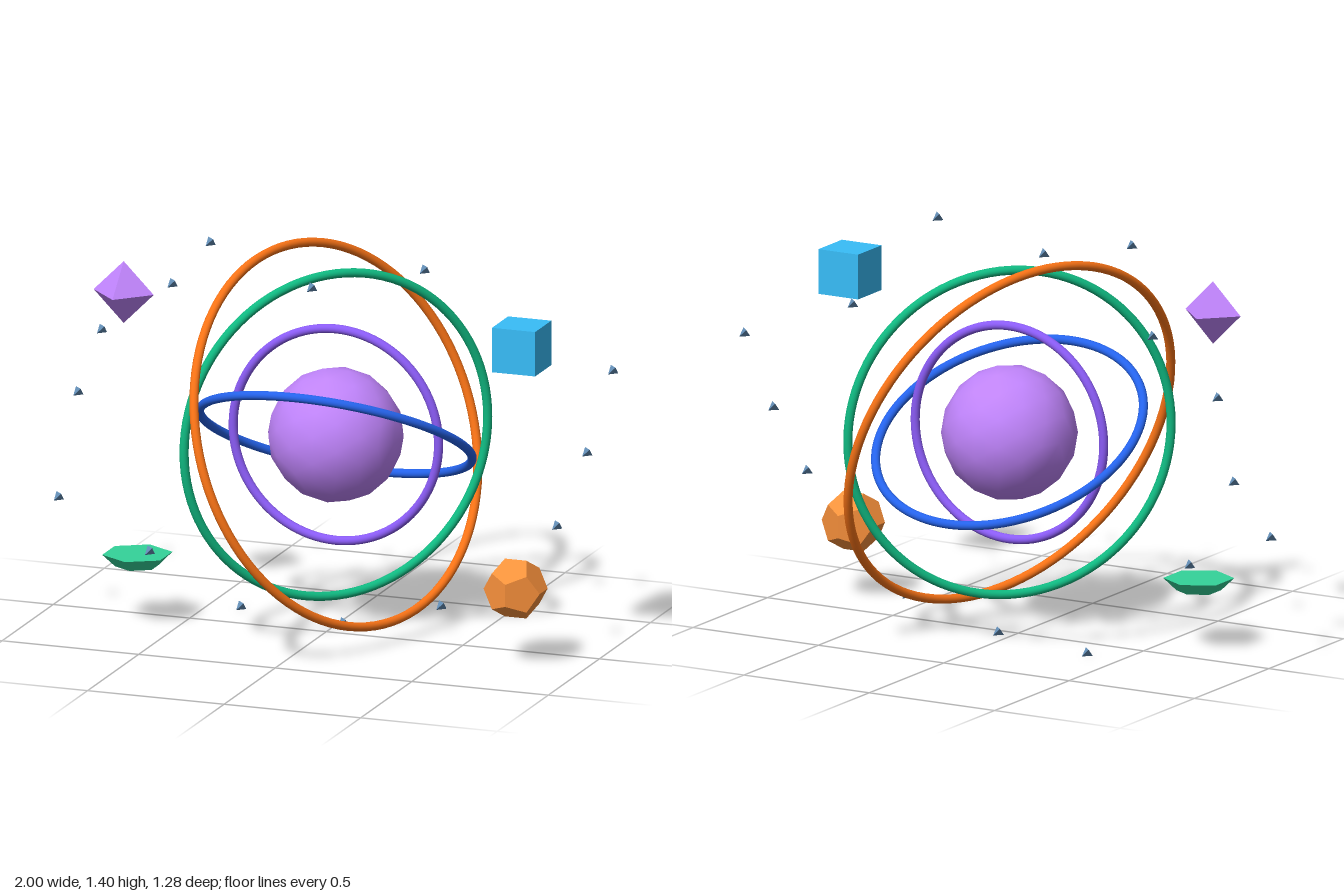
import * as THREE from 'three';

const CENTRE = new THREE.Vector3(0.035, 0.707, 0);
const { degToRad } = THREE.MathUtils;

export function createModel() {
  const model = new THREE.Group();
  model.name = 'orbitSculpture';

  function add(name, geometry, color, position, flatShading = false) {
    const mesh = new THREE.Mesh(geometry, new THREE.MeshStandardMaterial({ color, flatShading }));
    mesh.name = name;
    mesh.position.copy(position);
    model.add(mesh);
    return mesh;
  }
  const at = (x, y, z) => new THREE.Vector3(x, y, z);

  // Central faceted ball with smooth shading
  add('core', new THREE.IcosahedronGeometry(0.235, 2), 0xc084fc, CENTRE);

  // Four nested rings: name, radius, colour, rotation in degrees
  const rings = [
    ['innerRing', 0.376, 0x8b5cf6, 0, 0],
    ['tiltedRing', 0.475, 0x2563eb, 60, 0],
    ['uprightRing', 0.572, 0x10b981, 0, 45],
    ['outerRing', 0.67, 0xf97316, -45, 60],
  ];
  for (const [name, radius, color, rx, ry] of rings) {
    const ring = add(name, new THREE.TorusGeometry(radius, 0.0157, 16, 100), color, CENTRE);
    ring.rotation.set(degToRad(rx), degToRad(ry), 0);
  }

  // Floating solids around the rings
  add('cube', new THREE.BoxGeometry(0.158, 0.158, 0.158), 0x38bdf8, at(0.79, 1.145, 0.2), true);
  add('octahedron', new THREE.OctahedronGeometry(0.11), 0xc084fc, at(-0.682, 1.186, 0.16), true);
  add('dodecahedron', new THREE.DodecahedronGeometry(0.11), 0xfb923c, at(0.753, 0.27, 0.16), true);
  add('hexagonalDish', new THREE.CylinderGeometry(0.122, 0.077, 0.043, 6), 0x34d399,
    at(-0.645, 0.23, 0.126), true);

  // Loose orbit of tiny tetrahedra
  const particles = [
    [0.922, 0.707, -0.09], [0.981, 0.98, -0.185], [0.607, 1.109, -0.088], [0.43, 1.38, 0.185],
    [0.035, 1.29, 0.233], [-0.371, 1.39, 0.14], [-0.607, 1.153, -0.118], [-0.863, 0.967, -0.112],
    [-0.988, 0.707, -0.214], [-0.928, 0.43, 0.137], [-0.58, 0.28, 0.176], [-0.373, 0.016, -0.164],
    [0.035, 0.02, -0.074], [0.388, 0.11, -0.089], [0.71, 0.24, 0.16], [0.853, 0.468, 0.02],
  ];
  const speck = new THREE.TetrahedronGeometry(0.0235);
  particles.forEach((p, i) => add(`particle${i + 1}`, speck, 0x648fb8, at(...p), true));

  return model;
}
